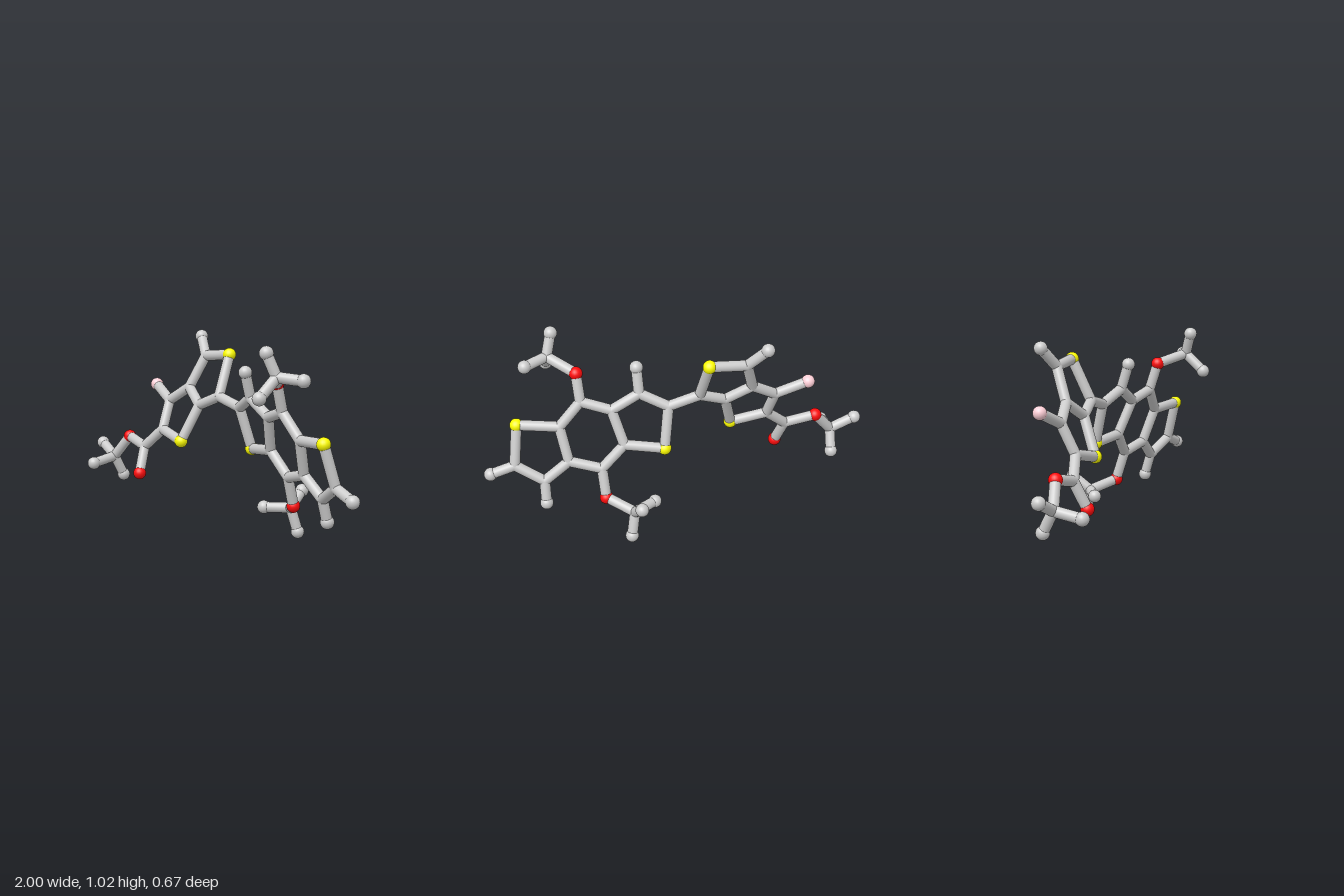
import * as THREE from 'three';

const BALL = 0.034, STICK = 0.027;

// Each flat ring system lies in a plane z = a + b*x + c*y
const leftPlane = (x, y) => [x, y, 0.265 + 0.009 * x - 0.433 * y];
const rightPlane = (x, y) => [x, y, -0.245 + 0.192 * x + 0.284 * y];

// Atom positions; names start with the element, M is a chain end
const atoms = {
  // left fused rings
  M1: leftPlane(-0.4, 0.985), C2: leftPlane(-0.31, 0.89), S1: leftPlane(-0.12, 0.908),
  C3: leftPlane(-0.093, 0.7), C4: leftPlane(-0.23, 0.645), C5: leftPlane(-0.36, 0.725),
  C6: leftPlane(-0.49, 0.645), F1: leftPlane(-0.65, 0.715), C7: leftPlane(-0.467, 0.497),
  S2: leftPlane(-0.28, 0.457),
  // side group on the left
  C8: [-0.58, 0.395, 0.085], O3: [-0.547, 0.26, 0.142], O4: [-0.74, 0.43, 0.07],
  C21: [-0.84, 0.31, 0.105], M2: [-0.967, 0.37, 0.095], M3: [-0.835, 0.285, 0.245], M4: [-0.835, 0.203, 0.05],
  // right fused rings
  C9: rightPlane(0.067, 0.66), C10: rightPlane(0.205, 0.725), M5: rightPlane(0.21, 0.853),
  C11: rightPlane(0.345, 0.645), C12: rightPlane(0.295, 0.47), S3: rightPlane(0.098, 0.45),
  C13: rightPlane(0.493, 0.688), C15: rightPlane(0.605, 0.565), C16: rightPlane(0.573, 0.39),
  C17: rightPlane(0.413, 0.352), S4: rightPlane(0.813, 0.577), C19: rightPlane(0.84, 0.373),
  M6: rightPlane(0.963, 0.33), C20: rightPlane(0.7, 0.293), M7: rightPlane(0.7, 0.18),
  // upper side group
  O1: rightPlane(0.503, 0.828), C14: [0.63, 0.875, 0.2],
  M8: [0.6, 0.985, 0.236], M9: [0.747, 0.864, 0.14], M10: [0.627, 0.785, 0.3],
  // lower side group
  O2: rightPlane(0.403, 0.203), C18: [0.275, 0.16, -0.207],
  M11: [0.157, 0.155, -0.13], M12: [0.255, 0.235, -0.3], M13: [0.297, 0.037, -0.235],
};

// Bonds written as chains of atoms
const chains = [
  'M1 C2 S1 C3 C4 C5 C2', 'C5 C6 C7 S2 C4', 'C6 F1', 'C7 C8 O3', 'C8 O4 C21 M2', 'M3 C21 M4',
  'C3 C9 C10 C11 C12 S3 C9', 'C10 M5', 'C11 C13 C15 C16 C17 C12',
  'C15 S4 C19 C20 C16', 'C19 M6', 'C20 M7',
  'C13 O1 C14 M8', 'M9 C14 M10', 'C17 O2 C18 M11', 'M12 C18 M13',
];

const kinds = {
  C: { name: 'joint', color: 0xcccccc, radius: STICK },
  M: { name: 'endBall', color: 0xcccccc, radius: BALL },
  S: { name: 'sulfurBall', color: 0xffff00, radius: BALL },
  O: { name: 'oxygenBall', color: 0xff0d0d, radius: BALL },
  F: { name: 'fluorineBall', color: 0xffd0d8, radius: BALL },
};

export function createModel() {
  const model = new THREE.Group();
  model.name = 'molecule';
  const balls = new THREE.Group();
  balls.name = 'atoms';
  const sticks = new THREE.Group();
  sticks.name = 'bonds';
  model.add(balls, sticks);

  // Balls, and small joints that round the corners between sticks
  const ballGeometry = new THREE.SphereGeometry(1, 20, 14);
  for (const kind of Object.values(kinds)) {
    kind.material = new THREE.MeshStandardMaterial({ color: kind.color });
  }
  for (const [key, position] of Object.entries(atoms)) {
    const kind = kinds[key[0]];
    const ball = new THREE.Mesh(ballGeometry, kind.material);
    ball.name = kind.name;
    ball.scale.setScalar(kind.radius);
    ball.position.set(...position);
    balls.add(ball);
  }

  // Sticks between neighbouring atoms
  const stickGeometry = new THREE.CylinderGeometry(STICK, STICK, 1, 20);
  const up = new THREE.Vector3(0, 1, 0);
  for (const chain of chains) {
    const points = chain.split(' ').map((key) => new THREE.Vector3(...atoms[key]));
    for (let i = 1; i < points.length; i++) {
      const along = points[i].clone().sub(points[i - 1]);
      const stick = new THREE.Mesh(stickGeometry, kinds.C.material);
      stick.name = 'bond';
      stick.scale.y = along.length();
      stick.position.copy(points[i - 1]).addScaledVector(along, 0.5);
      stick.quaternion.setFromUnitVectors(up, along.normalize());
      sticks.add(stick);
    }
  }
  return model;
}
